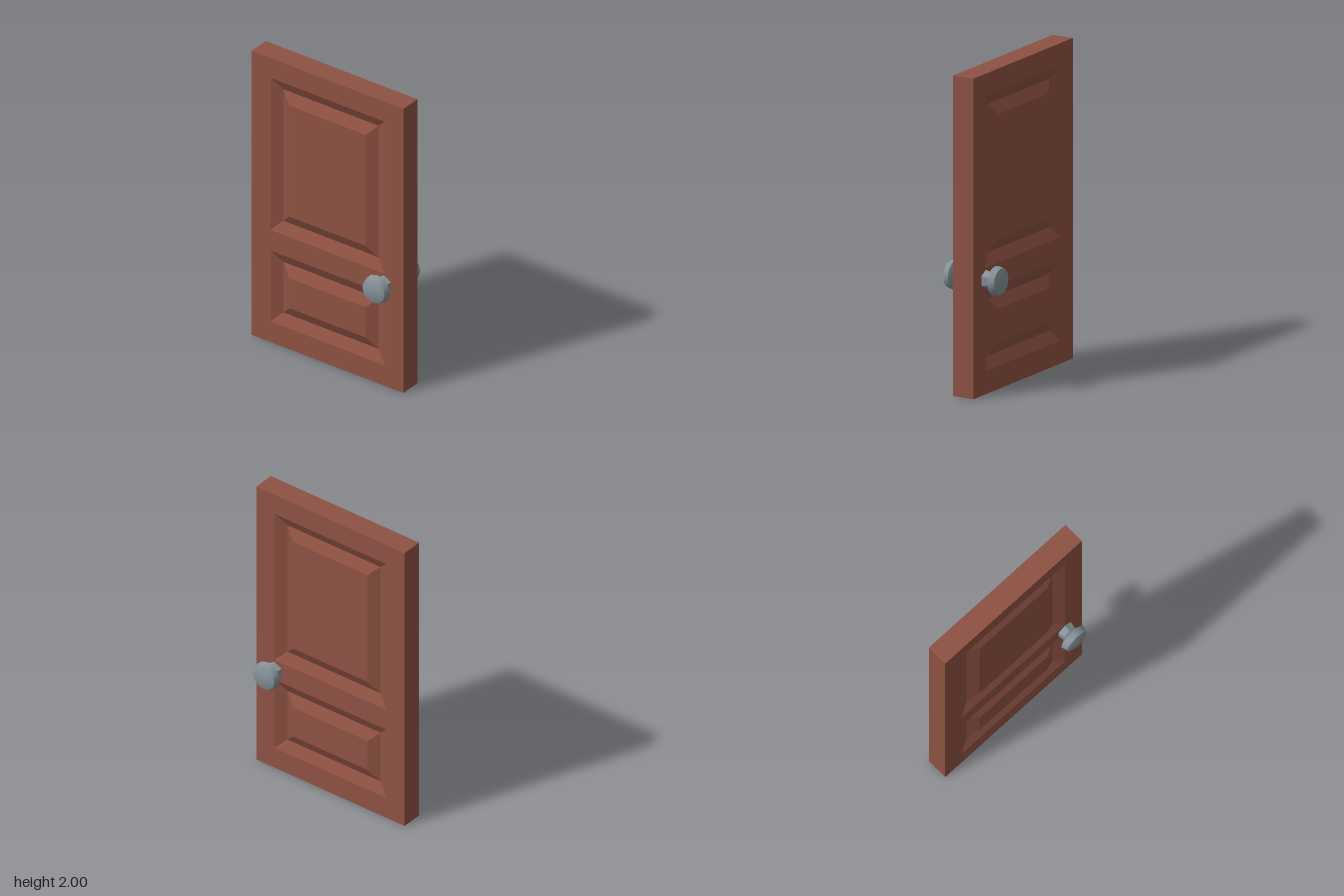
import * as THREE from 'three';
import { toCreasedNormals } from 'three/addons/utils/BufferGeometryUtils.js';

const W = 0.57, H = 2, D = 0.0715;   // half width, height, half thickness
const BEVEL = 0.072, GROOVE = 0.036; // panel moulding width and depth
const PANELS = [{ x: 0.43, y0: 0.79, y1: 1.86 }, { x: 0.43, y0: 0.145, y1: 0.645 }];

// Corners of a rectangle, counter-clockwise seen from the front
function corners({ x, y0, y1 }, z, inset = 0) {
  const a = x - inset, b = y0 + inset, t = y1 - inset;
  return [[-a, b, z], [a, b, z], [a, t, z], [-a, t, z]];
}

// Flat-shaded strips joining successive rectangles; the last may be filled
function loft(rings, fill) {
  const pos = [];
  const quad = (a, b, c, d) => pos.push(...a, ...b, ...c, ...a, ...c, ...d);
  for (let k = 0; k + 1 < rings.length; k++) {
    for (let i = 0; i < 4; i++) {
      const j = (i + 1) % 4;
      quad(rings[k][i], rings[k][j], rings[k + 1][j], rings[k + 1][i]);
    }
  }
  if (fill) quad(...rings[rings.length - 1]);
  const g = new THREE.BufferGeometry();
  g.setAttribute('position', new THREE.Float32BufferAttribute(pos, 3));
  g.computeVertexNormals();
  return g;
}

// Turned part along +z
function turned(profile, sides) {
  const g = new THREE.LatheGeometry(profile.map(([r, z]) => new THREE.Vector2(r, z)), sides);
  g.rotateX(Math.PI / 2);
  return toCreasedNormals(g, THREE.MathUtils.degToRad(40));
}

export function createModel() {
  const wood = new THREE.MeshStandardMaterial({ color: 0x8e5243 });
  wood.name = 'brownWood';
  const metal = new THREE.MeshStandardMaterial({ color: 0x869299 });
  metal.name = 'greyMetal';

  const model = new THREE.Group();
  model.name = 'door';
  const add = (parent, name, geometry, material) => {
    const mesh = new THREE.Mesh(geometry, material);
    mesh.name = name;
    parent.add(mesh);
    return mesh;
  };

  // Outer edges of the slab
  const slab = { x: W, y0: 0, y1: H };
  add(model, 'doorEdges', loft([corners(slab, -D), corners(slab, D)], false), wood);

  // Frame face with panel openings
  const toPoints = r => corners(r, 0).map(([x, y]) => new THREE.Vector2(x, y));
  const face = new THREE.Shape(toPoints(slab));
  PANELS.forEach(p => face.holes.push(new THREE.Path(toPoints(p).reverse())));
  const faceGeometry = new THREE.ShapeGeometry(face).translate(0, 0, D);

  // Raised panels: slope down to a groove, then up to the field
  const panelGeometries = PANELS.map(p => loft([
    corners(p, D),
    corners(p, D - GROOVE, BEVEL),
    corners(p, D, BEVEL * 2),
  ], true));

  // Six-sided neck and twelve-sided knob
  const neck = turned([[0.06, D - 0.005], [0.049, 0.118]], 6);
  const head = turned([
    [0, 0.112], [0.045, 0.113], [0.094, 0.14], [0.083, 0.181], [0.05, 0.194], [0, 0.195],
  ], 12);

  // Both faces carry the same parts
  for (const side of ['front', 'back']) {
    const sign = side === 'front' ? 1 : -1;
    const half = new THREE.Group();
    half.name = side + 'Side';
    if (sign < 0) half.rotation.y = Math.PI;
    add(half, side + 'Frame', faceGeometry, wood);
    add(half, side + 'UpperPanel', panelGeometries[0], wood);
    add(half, side + 'LowerPanel', panelGeometries[1], wood);

    const knob = new THREE.Group();
    knob.name = side + 'Knob';
    knob.position.set(0.427 * sign, 0.717, 0);
    add(knob, side + 'KnobNeck', neck, metal);
    add(knob, side + 'KnobHead', head, metal);
    half.add(knob);
    model.add(half);
  }
  return model;
}
